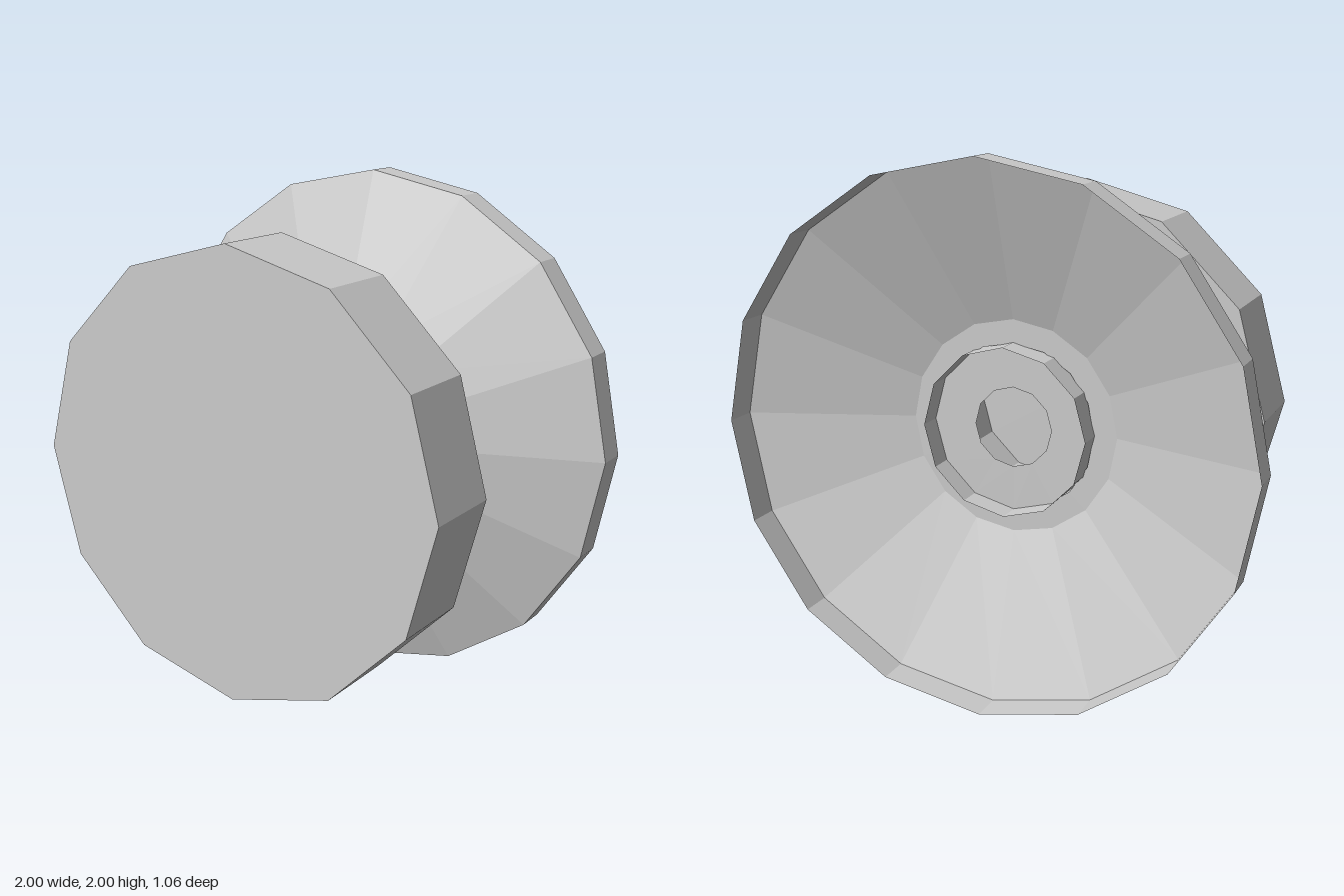
import * as THREE from 'three';

const material = new THREE.MeshStandardMaterial({
  color: 0xcccccc, flatShading: true, side: THREE.DoubleSide,
});

// Faceted surface turned around the z axis from [radius, z] points.
function turned(name, sides, profile) {
  const points = profile.map(([r, z]) => new THREE.Vector2(r, z));
  const geometry = new THREE.LatheGeometry(points, sides).rotateX(Math.PI / 2);
  const mesh = new THREE.Mesh(geometry, material);
  mesh.name = name;
  return mesh;
}

export function createModel() {
  const group = new THREE.Group();
  group.name = 'knob';

  // Solid front grip
  const grip = new THREE.Mesh(
    new THREE.CylinderGeometry(0.83, 0.83, 0.33, 12).rotateX(Math.PI / 2), material);
  grip.name = 'frontDisc';
  grip.position.z = 0.367;
  group.add(grip);

  // Hollow neck that pokes through the floor of the dish
  group.add(turned('neck', 12, [[0.315, 0.202], [0.315, -0.305]]));

  // Recessed ring with a round hole inside the neck
  group.add(turned('holeRing', 12, [[0.315, -0.21], [0.15, -0.21]]));

  // Thin open dish: floor, sloping wall and straight rim
  group.add(turned('backDish', 16, [[0.312, -0.208], [0.4, -0.208], [1, -0.41], [1, -0.532]]));

  group.position.y = 1;
  const model = new THREE.Group();
  model.add(group);
  return model;
}
